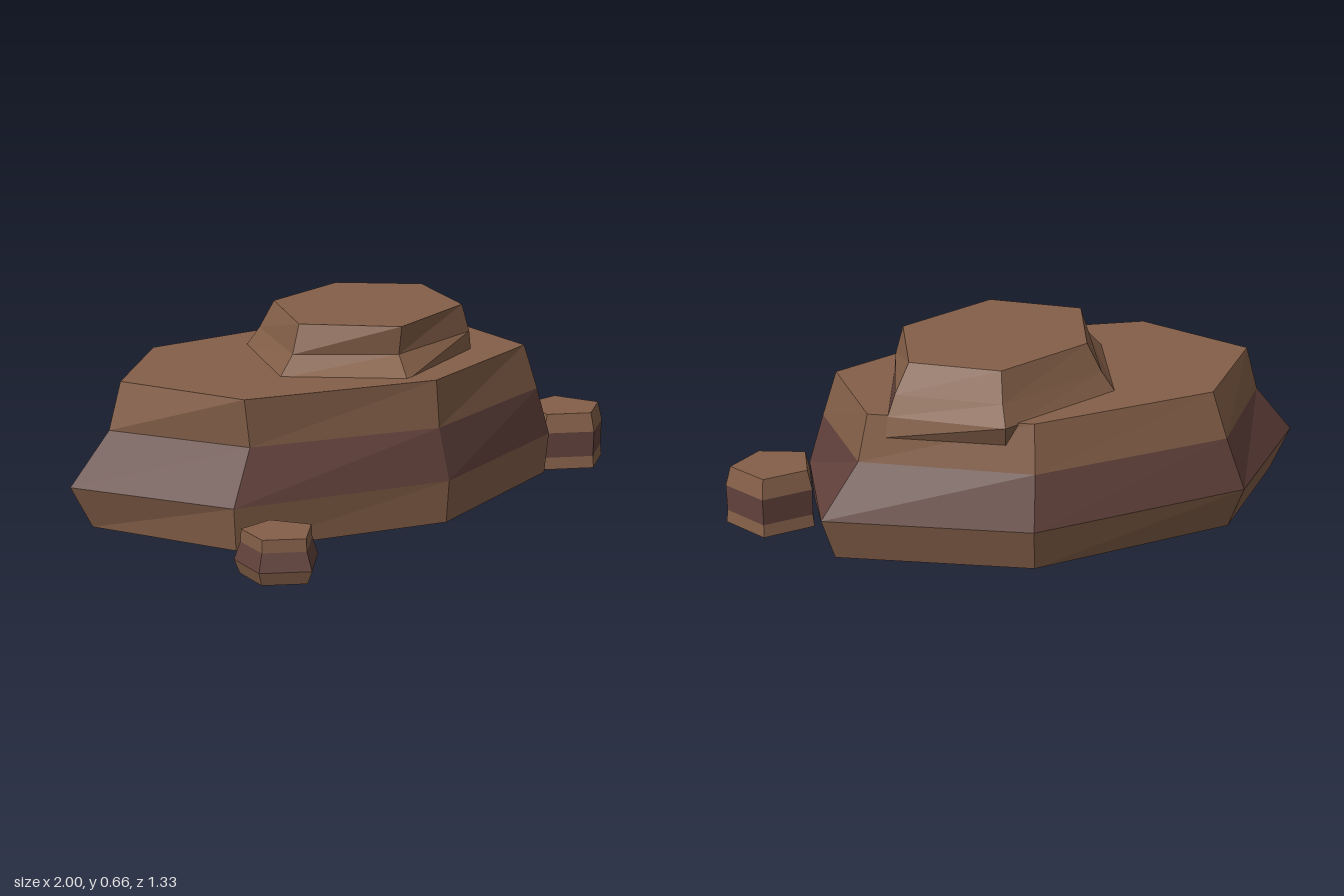
import * as THREE from 'three';

const earth = new THREE.MeshStandardMaterial({ color: 0x845f48, flatShading: true, side: THREE.DoubleSide });
earth.name = 'earthBrown';
const clay = new THREE.MeshStandardMaterial({ color: 0x61413b, flatShading: true, side: THREE.DoubleSide });
clay.name = 'clayRed';

// Faceted stone, open underneath. Rings run bottom to top as { y, pts: [[x, z], ...] };
// isClay(band, side, half) picks the colour of each triangle.
function stone(name, rings, isClay) {
  const tris = [[], []];
  const n = rings[0].pts.length;
  const at = (r, i) => [rings[r].pts[i % n][0], rings[r].y, rings[r].pts[i % n][1]];
  for (let r = 0; r < rings.length - 1; r++) {
    for (let i = 0; i < n; i++) {
      const a = at(r, i), b = at(r, i + 1), c = at(r + 1, i + 1), d = at(r + 1, i);
      tris[isClay(r, i, 0) ? 1 : 0].push(...b, ...a, ...d);
      tris[isClay(r, i, 1) ? 1 : 0].push(...b, ...d, ...c);
    }
  }
  // flat top
  const t = rings.length - 1;
  for (let i = 1; i < n - 1; i++) tris[0].push(...at(t, 0), ...at(t, i + 1), ...at(t, i));

  const geo = new THREE.BufferGeometry();
  geo.setAttribute('position', new THREE.Float32BufferAttribute([...tris[0], ...tris[1]], 3));
  geo.addGroup(0, tris[0].length / 3, 0);
  geo.addGroup(tris[0].length / 3, tris[1].length / 3, 1);
  geo.computeVertexNormals();
  const mesh = new THREE.Mesh(geo, [earth, clay]);
  mesh.name = name;
  return mesh;
}

export function createModel() {
  const group = new THREE.Group();
  group.name = 'layeredRock';

  // wide seven-sided base with a clay stratum around the middle
  group.add(stone('baseRock', [
    { y: 0, pts: [[-0.90, -0.30], [-0.37, -0.61], [0.40, -0.465], [0.87, 0.04], [0.64, 0.52], [-0.09, 0.60], [-0.78, 0.25]] },
    { y: 0.15, pts: [[-0.97, -0.33], [-0.39, -0.665], [0.43, -0.50], [0.925, 0.035], [0.65, 0.53], [-0.09, 0.61], [-0.80, 0.26]] },
    { y: 0.33, pts: [[-0.83, -0.28], [-0.36, -0.60], [0.38, -0.445], [0.77, 0.03], [0.60, 0.505], [-0.09, 0.565], [-0.69, 0.235]] },
    { y: 0.495, pts: [[-0.785, -0.265], [-0.335, -0.55], [0.355, -0.41], [0.73, 0.025], [0.56, 0.47], [-0.09, 0.55], [-0.71, 0.23]] },
  ], (band, side, half) => band === 1 || (band === 0 && side === 3 && half === 1)));

  // six-sided slab on top, overhanging one edge of the base
  group.add(stone('topSlab', [
    { y: 0.42, pts: [[-0.37, 0.10], [-0.07, -0.31], [0.43, -0.35], [0.70, -0.035], [0.37, 0.34], [-0.13, 0.44]] },
    { y: 0.49, pts: [[-0.395, 0.11], [-0.08, -0.325], [0.45, -0.375], [0.685, -0.03], [0.385, 0.355], [-0.14, 0.465]] },
    { y: 0.56, pts: [[-0.32, 0.105], [-0.05, -0.285], [0.43, -0.335], [0.65, -0.025], [0.38, 0.35], [-0.085, 0.385]] },
    { y: 0.66, pts: [[-0.28, 0.10], [-0.02, -0.24], [0.40, -0.29], [0.585, -0.02], [0.36, 0.33], [-0.09, 0.40]] },
  ], (band, side) => band === 1 && side === 3));

  // two loose pebbles: widest low down, clay band through the middle
  const pebbles = [
    ['leftPebble', [0, 0.045, 0.14, 0.21],
      [[0.775, 0.315], [0.97, 0.34], [0.995, 0.55], [0.81, 0.63], [0.665, 0.50]], [0.835, 0.47], [1, 0.97, 0.98, 0.87]],
    ['rightPebble', [0, 0.045, 0.105, 0.147],
      [[-0.945, 0.39], [-0.79, 0.40], [-0.73, 0.56], [-0.88, 0.66], [-1.0, 0.545]], [-0.87, 0.51], [0.87, 1, 0.85, 0.83]],
  ];
  for (const [name, heights, outline, [cx, cz], scales] of pebbles) {
    const rings = heights.map((y, k) => ({
      y,
      pts: outline.map(([x, z]) => [cx + (x - cx) * scales[k], cz + (z - cz) * scales[k]]),
    }));
    group.add(stone(name, rings, (band) => band === 1));
  }
  return group;
}
